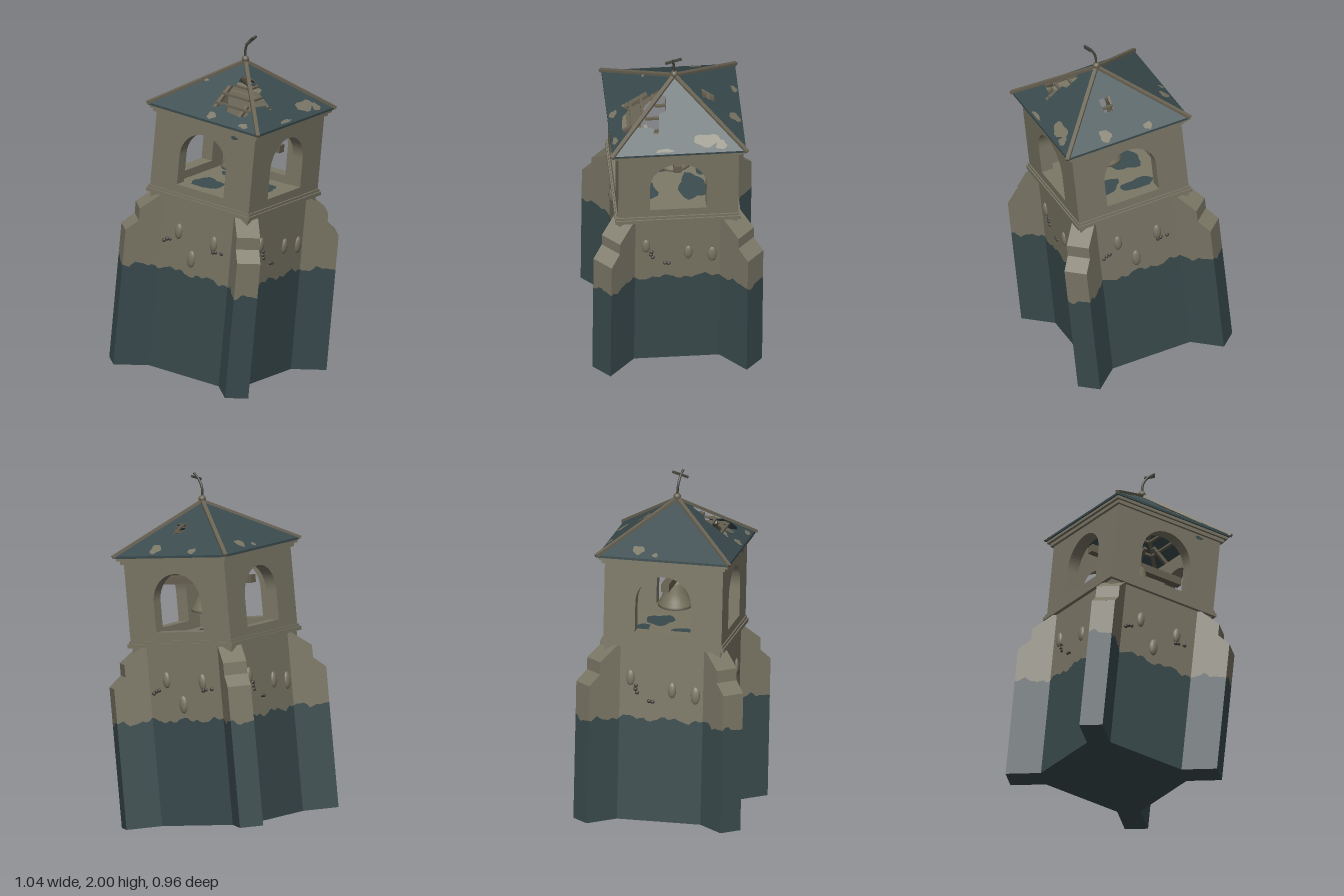
import * as THREE from 'three';

const mat = (name, color, side = THREE.FrontSide) => {
  const m = new THREE.MeshStandardMaterial({ color, side });
  m.name = name;
  return m;
};

export function createModel() {
  const stone = mat('stone', 0x7b7766, THREE.DoubleSide);
  const slate = mat('damp slate', 0x3a4b4e, THREE.DoubleSide);
  const wood = mat('weathered wood', 0x686252);
  const bronze = mat('dull bronze', 0x77735f, THREE.DoubleSide);
  const iron = mat('dark iron', 0x45433d);

  const root = new THREE.Group();
  const tower = new THREE.Group();
  tower.name = 'leaningTower';
  tower.position.set(-0.045, 0.053, 0);
  tower.rotation.z = -0.1047;
  root.add(tower);

  const add = (parent, name, geo, material, x = 0, y = 0, z = 0) => {
    const m = new THREE.Mesh(geo, material);
    m.name = name;
    m.position.set(x, y, z);
    parent.add(m);
    return m;
  };
  const shapeOf = pts => new THREE.Shape(pts.map(p => new THREE.Vector2(p[0], p[1])));
  const bar = (parent, name, a, b, w, h, material) => {
    const A = new THREE.Vector3(...a), B = new THREE.Vector3(...b);
    const m = new THREE.Mesh(new THREE.BoxGeometry(w, h, A.distanceTo(B)), material);
    m.name = name;
    m.position.copy(A).lerp(B, 0.5);
    m.lookAt(B);
    parent.add(m);
  };
  // Irregular stain outline
  const blob = (cx, cy, rx, ry) => shapeOf(Array.from({ length: 18 }, (_, i) => {
    const a = i / 18 * Math.PI * 2;
    const r = 1 + 0.12 * Math.sin(3 * a + cx * 40) + 0.1 * Math.sin(5 * a + cy * 30);
    return [cx + rx * r * Math.cos(a), cy + ry * r * Math.sin(a)];
  }));
  // Square ring, like a moulding or fascia
  const frame = (name, half, inner, y, h, material) => {
    const sq = s => [[-s, -s], [s, -s], [s, s], [-s, s]];
    const s = shapeOf(sq(half));
    s.holes.push(shapeOf(sq(inner)));
    const g = new THREE.ExtrudeGeometry(s, { depth: h, bevelEnabled: false });
    g.rotateX(-Math.PI / 2);
    add(tower, name, g, material, 0, y, 0);
  };
  // Four sides: front, left (+x), back, right (-x)
  const sides = [0, 1, 2, 3].map(k => {
    const g = new THREE.Group();
    g.name = ['frontSide', 'leftSide', 'backSide', 'rightSide'][k];
    g.rotation.y = k * Math.PI / 2;
    tower.add(g);
    return g;
  });

  // Footprint of the shaft with diagonal corner buttresses
  const foot = [];
  for (let k = 0; k < 4; k++) {
    for (let [x, z] of [[0.335, 0.24], [0.48, 0.385], [0.385, 0.48], [0.24, 0.335]]) {
      for (let i = 0; i < k; i++) [x, z] = [-z, x];
      foot.push([x, z]);
    }
  }
  const path = [];
  foot.forEach((p, i) => {
    const q = foot[(i + 1) % foot.length];
    const n = Math.ceil(Math.hypot(q[0] - p[0], q[1] - p[1]) / 0.02);
    for (let j = 0; j < n; j++) path.push([p[0] + (q[0] - p[0]) * j / n, p[1] + (q[1] - p[1]) * j / n]);
  });
  const damp = i => {
    const t = i / path.length * Math.PI * 2;
    return 0.597 + 0.011 * Math.sin(19 * t) + 0.007 * Math.sin(43 * t + 1) + 0.005 * Math.sin(71 * t);
  };
  const skirt = (low, high) => {
    const v = [];
    path.forEach(([x, z], i) => {
      const j = (i + 1) % path.length, [X, Z] = path[j];
      v.push(x, low(i), z, x, high(i), z, X, high(j), Z, x, low(i), z, X, high(j), Z, X, low(j), Z);
    });
    const g = new THREE.BufferGeometry();
    g.setAttribute('position', new THREE.Float32BufferAttribute(v, 3));
    g.computeVertexNormals();
    return g;
  };
  add(tower, 'dampLowerShaft', skirt(() => 0, damp), slate);
  add(tower, 'upperShaft', skirt(damp, () => 0.8), stone);
  add(tower, 'shaftUnderside', new THREE.ShapeGeometry(shapeOf(foot)).rotateX(Math.PI / 2), slate);
  add(tower, 'shaftTop', new THREE.BoxGeometry(0.67, 0.22, 0.67), stone, 0, 0.91, 0);

  // Stepped buttress heads
  const head = new THREE.ExtrudeGeometry(shapeOf([[0.3, 0.8], [0.612, 0.8], [0.541, 0.86],
    [0.541, 0.93], [0.425, 1.017], [0.3, 1.017]]), { depth: 0.134, bevelEnabled: false });
  head.translate(0, 0, -0.067);
  for (let k = 0; k < 4; k++) add(tower, 'buttressHead', head, stone).rotation.y = Math.PI / 4 + k * Math.PI / 2;

  // Ledge under the bell chamber
  add(tower, 'ledge', new THREE.BoxGeometry(0.71, 0.022, 0.71), stone, 0, 1.026, 0);
  add(tower, 'ledgeUpper', new THREE.BoxGeometry(0.695, 0.015, 0.695), stone, 0, 1.0445, 0);

  // Bell chamber walls with arched openings
  sides.forEach((side, k) => {
    const w = k % 2 ? 0.27 : 0.34;
    const s = shapeOf([[-w, 1.04], [w, 1.04], [w, 1.5], [-w, 1.5]]);
    const hole = new THREE.Path();
    hole.moveTo(-0.16, 1.1);
    hole.lineTo(0.16, 1.1);
    hole.lineTo(0.16, 1.27);
    hole.absarc(0, 1.27, 0.16, 0, Math.PI);
    hole.lineTo(-0.16, 1.1);
    s.holes.push(hole);
    const g = new THREE.ExtrudeGeometry(s, { depth: 0.07, bevelEnabled: false, curveSegments: 16 });
    add(side, 'archedWall', g, stone, 0, 0, 0.27);
  });
  [[0.1, 0.1, 0.11, 0.08], [-0.13, -0.08, 0.09, 0.1], [0.12, -0.16, 0.08, 0.06], [-0.1, 0.17, 0.1, 0.05]].forEach(b =>
    add(tower, 'floorStain', new THREE.ShapeGeometry(blob(...b)).rotateX(-Math.PI / 2), slate, 0, 1.055, 0));

  // Cornice and eaves
  frame('corniceLower', 0.355, 0.28, 1.49, 0.02, stone);
  frame('corniceUpper', 0.37, 0.28, 1.51, 0.018, stone);
  frame('eavesEdge', 0.378, 0.35, 1.526, 0.013, slate);
  add(sides[0], 'corniceStain', new THREE.ShapeGeometry(blob(0.2, 1.468, 0.024, 0.01)), slate, 0, 0, 0.343);

  // Roof slopes; s runs along the eave, d is the distance out from the apex
  const APEX = 1.8, SLOPE = 0.69, EAVE = 0.378;
  const onSlope = (geo, lift) => {
    const p = geo.attributes.position;
    for (let i = 0; i < p.count; i++) p.setXYZ(i, p.getX(i), APEX + lift + SLOPE * p.getY(i), -p.getY(i));
    geo.computeVertexNormals();
    return geo;
  };
  const flip = pts => pts.map(([s, d]) => [s, -d]);
  const holes = [
    [[0, 0.16], [0.05, 0.15], [0.045, 0.085], [0.075, 0.085], [0.24, 0.25], [0.235, 0.3], [0.19, 0.31],
      [0.1, 0.3], [0.07, 0.265], [0, 0.3]],
    [[-0.08, 0.09], [-0.055, 0.1], [-0.06, 0.17], [-0.1, 0.18], [-0.11, 0.28], [-0.14, 0.275],
      [-0.13, 0.25], [-0.225, 0.24]],
    [[-0.07, 0.155], [0, 0.155], [-0.01, 0.225], [-0.065, 0.225]],
    null,
  ];
  const stains = [
    [[0.035, 0.348, 0.026, 0.022], [0.26, 0.355, 0.03, 0.014], [-0.14, 0.165, 0.013, 0.008]],
    [[0.16, 0.32, 0.075, 0.03], [0.24, 0.345, 0.03, 0.022], [-0.08, 0.362, 0.05, 0.009]],
    [[0.135, 0.352, 0.026, 0.018], [-0.12, 0.335, 0.034, 0.032]],
    [[-0.15, 0.33, 0.034, 0.026], [-0.05, 0.355, 0.016, 0.013]],
  ];
  sides.forEach((side, k) => {
    const s = shapeOf(flip([[0, 0], [-EAVE, EAVE], [EAVE, EAVE]]));
    if (holes[k]) s.holes.push(shapeOf(flip(holes[k])));
    add(side, 'roofSlope', onSlope(new THREE.ShapeGeometry(s), 0), slate);
    stains[k].forEach(([a, d, ra, rd]) =>
      add(side, 'roofPatch', onSlope(new THREE.ShapeGeometry(blob(a, -d, ra, rd)), 0.003), stone));
    // Rafters and battens beneath the slates
    const pt = (a, d, drop) => [a, APEX - SLOPE * d - drop, d];
    for (const a of [-0.18, 0, 0.18])
      bar(side, 'rafter', pt(a, Math.abs(a) + 0.03, 0.034), pt(a, 0.35, 0.034), 0.02, 0.02, wood);
    for (const d of [0.13, 0.19, 0.25])
      bar(side, 'batten', pt(-d + 0.01, d, 0.018), pt(d - 0.01, d, 0.018), 0.016, 0.012, wood);
    bar(side, 'ridgeCap', [0, APEX + 0.002, 0], [0.384, 1.536, 0.384], 0.022, 0.018, wood);
  });

  // Weathered knobs and pockmarks on the shaft walls
  const knob = new THREE.SphereGeometry(1, 14, 10);
  const lumps = [
    [[-0.122, 0.829, 1], [0.12, 0.814, 1], [-0.022, 0.688, 1.1], [-0.215, 0.752, 0], [-0.198, 0.765, 0],
      [-0.178, 0.77, 0], [0.12, 0.765, 0], [0.138, 0.77, 0], [0.178, 0.772, 0]],
    [[-0.18, 0.83, 1], [0.06, 0.772, 1], [0.195, 0.75, 1.1], [-0.148, 0.785, 0], [-0.15, 0.765, 0],
      [-0.14, 0.745, 0], [-0.07, 0.7, 0], [-0.05, 0.697, 0]],
  ];
  sides.forEach((side, k) => lumps[k % 2].forEach(([x, y, big]) => {
    const m = add(side, big ? 'wallKnob' : 'pockmark', knob, big ? stone : iron, x, y, 0.335);
    if (big) m.scale.set(0.024 * big, 0.046 * big, 0.016);
    else m.scale.set(0.012, 0.011, 0.01);
  }));

  // Bell and its beam
  bar(tower, 'bellBeam', [-0.3, 1.355, 0], [0.3, 1.355, 0], 0.045, 0.045, wood);
  add(root, 'headstock', new THREE.BoxGeometry(0.05, 0.08, 0.046), wood, 0.1, 1.413, 0);
  const bell = [[0.088, 0], [0.099, 0.002], [0.097, 0.018], [0.08, 0.05], [0.066, 0.095], [0.06, 0.14],
    [0.052, 0.162], [0.035, 0.172], [0, 0.174]].map(p => new THREE.Vector2(...p));
  add(root, 'bell', new THREE.LatheGeometry(bell, 32), bronze, 0.098, 1.217, 0);
  add(root, 'clapper', new THREE.SphereGeometry(0.02, 12, 8), iron, 0.098, 1.24, 0);
  add(root, 'clapperRod', new THREE.CylinderGeometry(0.006, 0.006, 0.13, 8), iron, 0.098, 1.31, 0);

  // Finial with a bent cross
  add(root, 'finialBall', new THREE.SphereGeometry(0.021, 16, 12), wood, 0.144, 1.856, 0);
  const bend = new THREE.CatmullRomCurve3([[0.144, 1.86, 0], [0.149, 1.92, 0.004], [0.175, 1.963, 0.011],
    [0.213, 1.994, 0.021]].map(p => new THREE.Vector3(...p)));
  add(root, 'bentPole', new THREE.TubeGeometry(bend, 16, 0.007, 8), iron);
  bar(root, 'crossArm', [0.19, 1.958, 0.055], [0.19, 1.985, -0.038], 0.012, 0.012, iron);
  return root;
}
